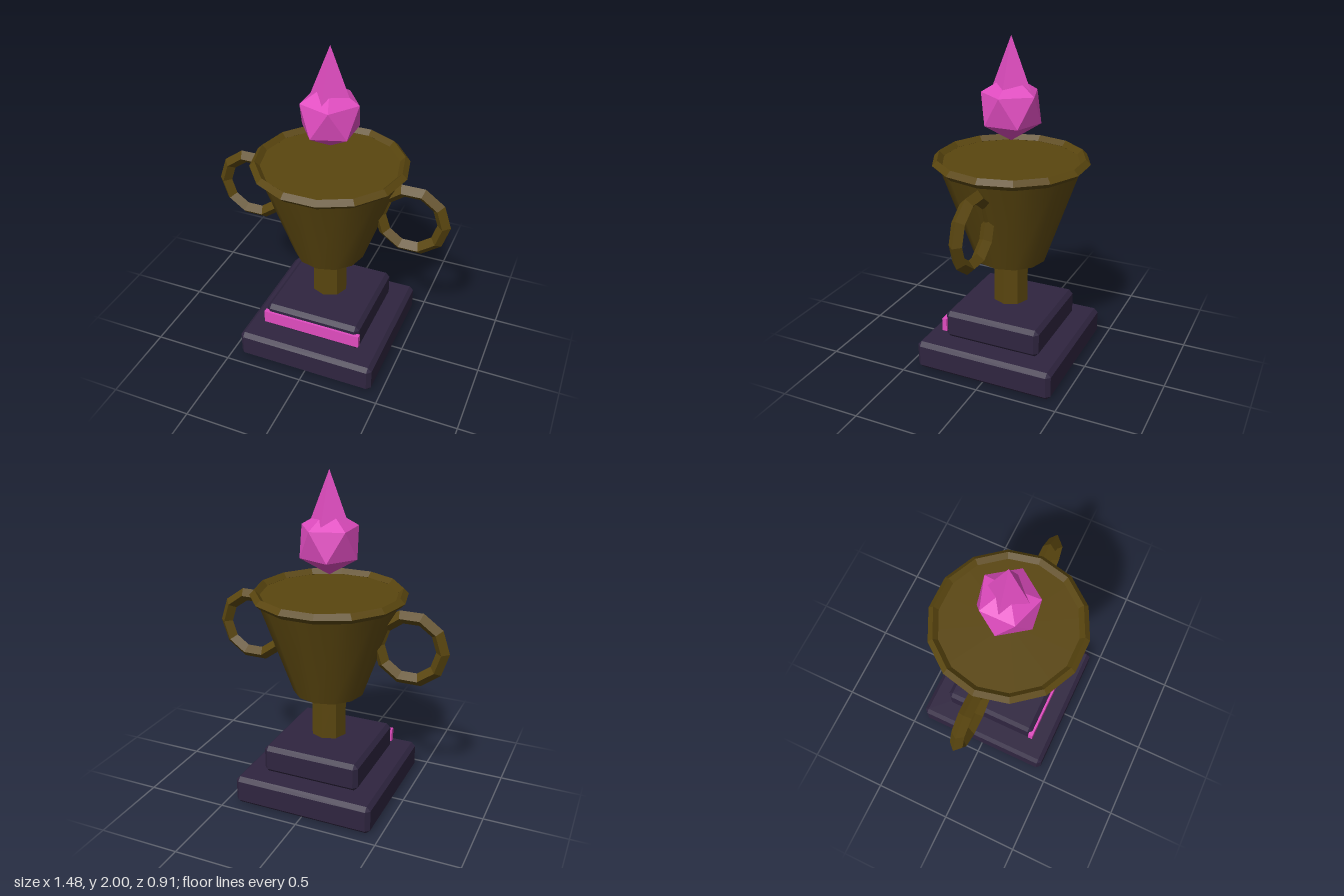
import * as THREE from 'three';
import { ConvexGeometry } from 'three/addons/geometries/ConvexGeometry.js';

const material = (name, color, flatShading = true) => {
  const m = new THREE.MeshStandardMaterial({ color, flatShading });
  m.name = name;
  return m;
};

// Box with every edge chamfered by c, resting between y0 and y1
function chamferedBox(w, y0, y1, c) {
  const points = [];
  const h = (y1 - y0) / 2, r = w / 2, mid = (y0 + y1) / 2;
  for (const sx of [-1, 1]) for (const sy of [-1, 1]) for (const sz of [-1, 1]) {
    points.push(
      new THREE.Vector3(sx * r, mid + sy * (h - c), sz * (r - c)),
      new THREE.Vector3(sx * (r - c), mid + sy * h, sz * (r - c)),
      new THREE.Vector3(sx * (r - c), mid + sy * (h - c), sz * r));
  }
  return new ConvexGeometry(points);
}

// Twenty-sided gem standing on a vertex, with one upper corner facing +x
function gemGeometry(radius) {
  const ring = radius * 2 / Math.sqrt(5), level = radius / Math.sqrt(5);
  const points = [new THREE.Vector3(0, radius, 0), new THREE.Vector3(0, -radius, 0)];
  for (let i = 0; i < 10; i++) {
    const a = i * Math.PI / 5;
    points.push(new THREE.Vector3(ring * Math.cos(a), i % 2 ? -level : level, ring * Math.sin(a)));
  }
  return new ConvexGeometry(points);
}

export function createModel() {
  const group = new THREE.Group();
  group.name = 'trophy';

  const stone = material('darkPurple', 0x2f2540);
  const bronze = material('bronze', 0x5a460f, false);
  const pink = material('pink', 0xe04cc0);

  const add = (name, geometry, mat, x = 0, y = 0, z = 0) => {
    const mesh = new THREE.Mesh(geometry, mat);
    mesh.name = name;
    mesh.position.set(x, y, z);
    group.add(mesh);
    return mesh;
  };
  // Hard facets on geometry that shares the bronze material
  const faceted = (geometry) => {
    const g = geometry.toNonIndexed();
    g.computeVertexNormals();
    return g;
  };

  // Stepped base and front plaque
  add('base', chamferedBox(0.875, 0, 0.178, 0.025), stone);
  add('plinth', chamferedBox(0.612, 0.178, 0.352, 0.025), stone);
  add('plaque', new THREE.BoxGeometry(0.628, 0.082, 0.03), pink, 0, 0.266, 0.305);

  // Eight-sided stem, floating just above the plinth
  add('stem', faceted(new THREE.CylinderGeometry(0.11, 0.11, 0.3, 8)), bronze, 0, 0.529, 0);

  // Smooth tapered cup, closed at the top
  add('cup', new THREE.CylinderGeometry(0.432, 0.217, 0.611, 12), bronze, 0, 0.9705, 0);

  // Diamond-section rim
  const rim = faceted(new THREE.TorusGeometry(0.436, 0.03, 4, 14).rotateX(Math.PI / 2));
  add('rim', rim, bronze, 0, 1.277, 0);

  // Ring handles
  for (const side of [-1, 1]) {
    const ring = faceted(new THREE.TorusGeometry(0.194, 0.04, 4, 10));
    add(side > 0 ? 'leftHandle' : 'rightHandle', ring, bronze, side * 0.505, 1.015, 0);
  }

  // Floating gem with a four-sided spire
  add('gem', gemGeometry(0.194), pink, 0, 1.59, 0);
  add('spire', new THREE.ConeGeometry(0.135, 0.34, 4), pink, 0, 1.83, 0);

  return group;
}
